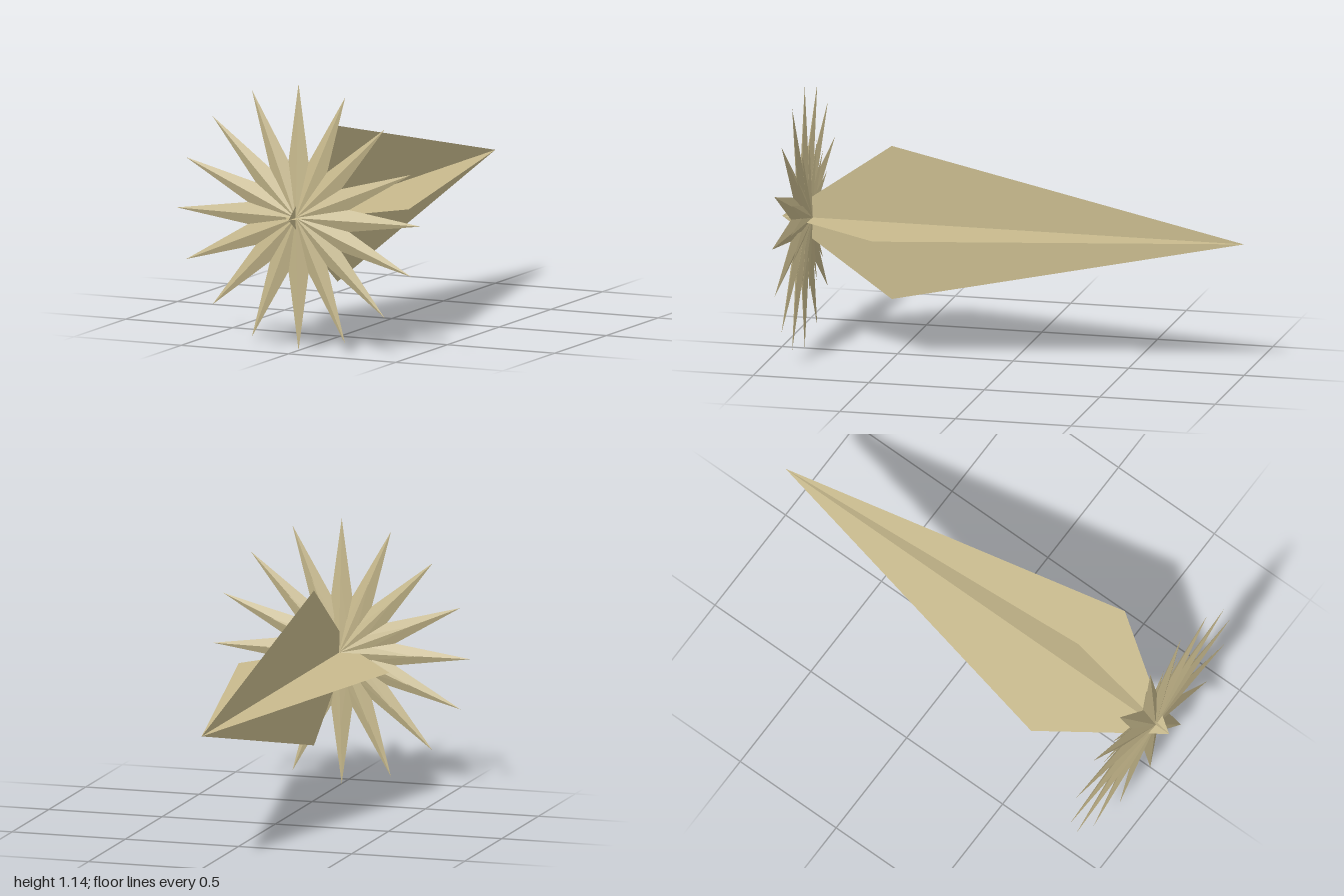
import * as THREE from 'three';

const CENTER_Y = 0.57;
const POINTS = 16;

// Faceted star: raised hubs front and back, thin rim of tips and notches
function starGeometry(outer, inner, depth) {
  const rim = [];
  for (let i = 0; i < POINTS * 2; i++) {
    const a = (i * Math.PI) / POINTS;
    const r = i % 2 ? inner : outer;
    rim.push([r * Math.cos(a), r * Math.sin(a), 0]);
  }
  const pos = [];
  rim.forEach((p, i) => {
    const q = rim[(i + 1) % rim.length];
    pos.push(0, 0, depth, ...p, ...q); // front facet
    pos.push(0, 0, -depth, ...q, ...p); // back facet
  });
  const geo = new THREE.BufferGeometry();
  geo.setAttribute('position', new THREE.Float32BufferAttribute(pos, 3));
  geo.computeVertexNormals();
  return geo;
}

// Flat kite standing in the YZ plane, with its short end to the front
function kiteGeometry() {
  const shape = new THREE.Shape([
    new THREE.Vector2(-1, 0),
    new THREE.Vector2(-0.525, -0.332),
    new THREE.Vector2(1, 0),
    new THREE.Vector2(-0.525, 0.332),
  ]);
  return new THREE.ShapeGeometry(shape).rotateY(Math.PI / 2);
}

export function createModel() {
  const model = new THREE.Group();
  model.name = 'starBurstDart';
  const tan = new THREE.MeshStandardMaterial({ color: 0xc9bb8e, side: THREE.DoubleSide, flatShading: true });
  tan.name = 'sandTan';

  const add = (name, geo, z = 0) => {
    const mesh = new THREE.Mesh(geo, tan);
    mesh.name = name;
    mesh.position.set(0, CENTER_Y, z);
    model.add(mesh);
  };

  // Two crossed blades
  add('verticalBlade', kiteGeometry());
  add('horizontalBlade', kiteGeometry().rotateZ(Math.PI / 2));

  // Large star with a smaller one just behind it
  add('largeStar', starGeometry(0.568, 0.24, 0.029), 0.902);
  add('smallStar', starGeometry(0.33, 0.14, 0.014), 0.881);

  return model;
}
